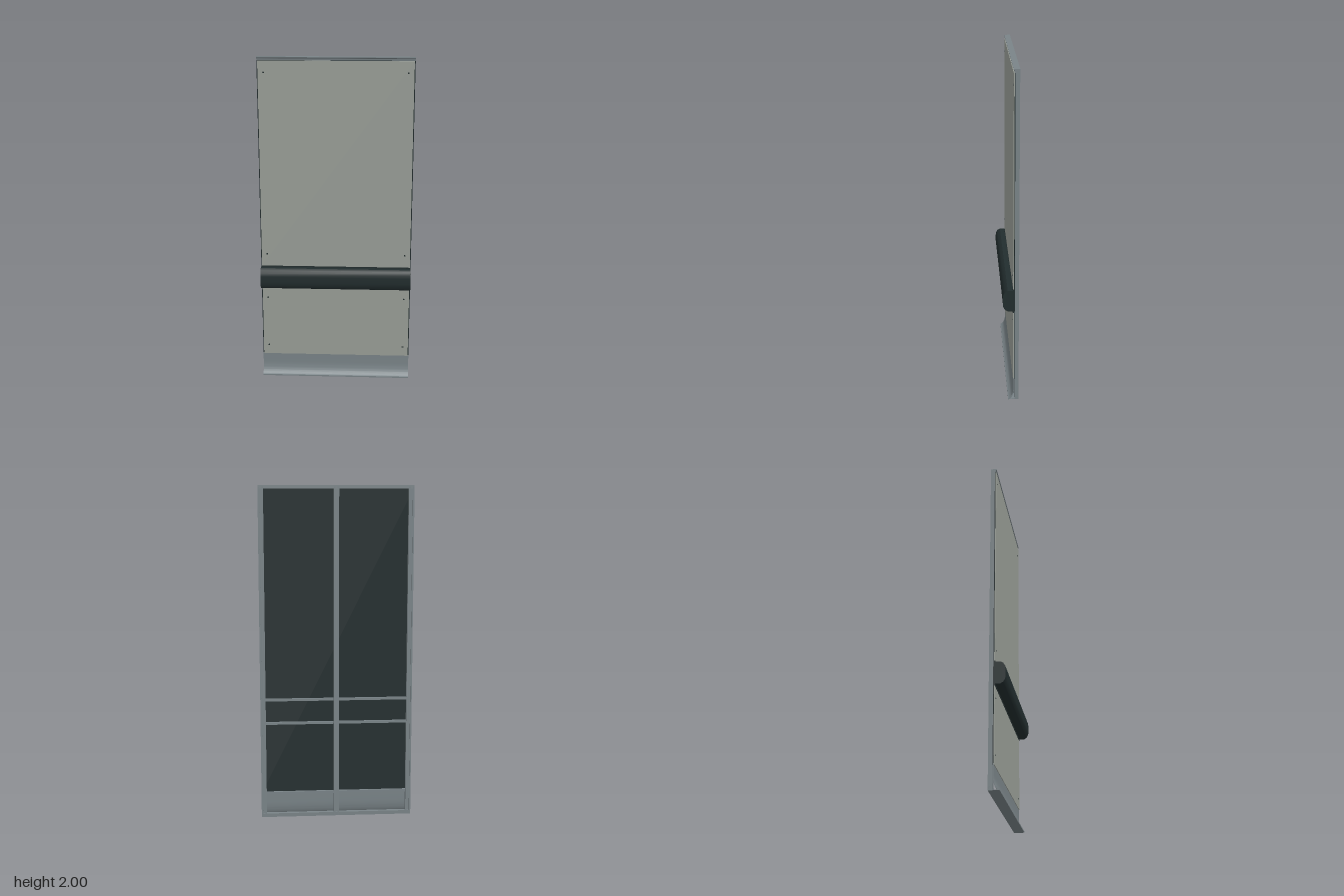
import * as THREE from 'three';
import { toCreasedNormals } from 'three/addons/utils/BufferGeometryUtils.js';

const W = 0.916; // full width

export function createModel() {
  const group = new THREE.Group();
  const mat = (name, color) => {
    const m = new THREE.MeshStandardMaterial({ color });
    m.name = name;
    return m;
  };
  const panelGrey = mat('panelGrey', 0x9a9f98);
  const metal = mat('frameMetal', 0x7a8488);
  const rubber = mat('darkRubber', 0x222d2e);

  const add = (name, geo, material, x = 0, y = 0, z = 0) => {
    const m = new THREE.Mesh(geo, material);
    m.name = name;
    m.position.set(x, y, z);
    group.add(m);
    return m;
  };
  // Box given by its y and z limits
  const slab = (name, material, w, y0, y1, z0, z1, x = 0) =>
    add(name, new THREE.BoxGeometry(w, y1 - y0, z1 - z0), material, x, (y0 + y1) / 2, (z0 + z1) / 2);
  const polygon = (pts) => new THREE.Shape(pts.map(([a, b]) => new THREE.Vector2(a, b)));
  // (z, y) profile swept across the width
  const sweepX = (shape, w) => {
    const g = new THREE.ExtrudeGeometry(shape, { depth: w, bevelEnabled: false, curveSegments: 14 });
    g.rotateY(-Math.PI / 2).translate(w / 2, 0, 0);
    return toCreasedNormals(g, 0.5);
  };

  // Dark backing board and the two facing panels
  slab('backingBoard', rubber, W, 0.14, 1.985, -0.022, -0.018);
  slab('upperPanel', panelGrey, W - 0.01, 0.725, 1.978, -0.018, -0.013);
  slab('lowerPanel', panelGrey, W - 0.01, 0.14, 0.584, -0.018, -0.013);

  // Upright grooved frame bars on the back
  const a = 0.016, g = 0.007;
  const stileShape = polygon([
    [-a, 0.022], [a, 0.022], [a, 0.046], [g, 0.046], [g, 0.038],
    [-g, 0.038], [-g, 0.046], [-a, 0.046],
  ]);
  const stileGeo = new THREE.ExtrudeGeometry(stileShape, { depth: 1.99, bevelEnabled: false });
  stileGeo.rotateX(-Math.PI / 2);
  for (const x of [-W / 2 + a, 0, W / 2 - a]) add('stile', stileGeo, metal, x, 0.002, 0);

  // Cross rails: bottom sill and thin intermediate ribs
  slab('bottomRail', metal, W, 0, 0.022, -0.046, -0.022);
  for (const y of [0.14, 0.576, 0.72]) slab('rib', metal, W - 0.04, y, y + 0.015, -0.036, -0.022);

  // Top rail with a hollowed front lip
  const top = new THREE.Shape();
  top.moveTo(-0.046, 1.98);
  top.lineTo(-0.018, 1.98);
  top.quadraticCurveTo(-0.018, 1.992, -0.012, 1.995);
  top.lineTo(-0.012, 2);
  top.lineTo(-0.046, 2);
  add('topRail', sweepX(top, W), metal);

  // Curved sheet skirting flaring to a toe
  const skirt = new THREE.Shape();
  skirt.moveTo(0.016, 0);
  skirt.lineTo(0.016, 0.008);
  skirt.quadraticCurveTo(-0.015, 0.02, -0.0165, 0.085);
  skirt.lineTo(-0.0165, 0.145);
  skirt.lineTo(-0.0195, 0.145);
  skirt.lineTo(-0.0195, 0.085);
  skirt.quadraticCurveTo(-0.018, 0.014, 0.008, 0);
  add('skirting', sweepX(skirt, W), metal);
  slab('sole', metal, W, 0, 0.003, -0.022, 0.012);

  // Rubber bumper rail with rounded nose on its mounting strip
  slab('bumperMount', rubber, W, 0.582, 0.728, -0.018, -0.011);
  const nose = polygon([
    [-0.011, 0.592], [0.018, 0.592], [0.034, 0.602], [0.044, 0.62],
    [0.046, 0.64], [0.046, 0.675], [0.044, 0.695], [0.034, 0.712], [0.018, 0.722], [-0.011, 0.722],
  ]);
  add('bumper', sweepX(nose, W), rubber);

  // Screw heads
  const screwGeo = new THREE.CylinderGeometry(0.005, 0.005, 0.002, 10).rotateX(Math.PI / 2);
  for (const x of [-0.42, 0.42]) {
    for (const y of [0.2, 0.52, 0.805, 1.91]) add('screw', screwGeo, rubber, x, y, -0.0125);
  }
  return group;
}
